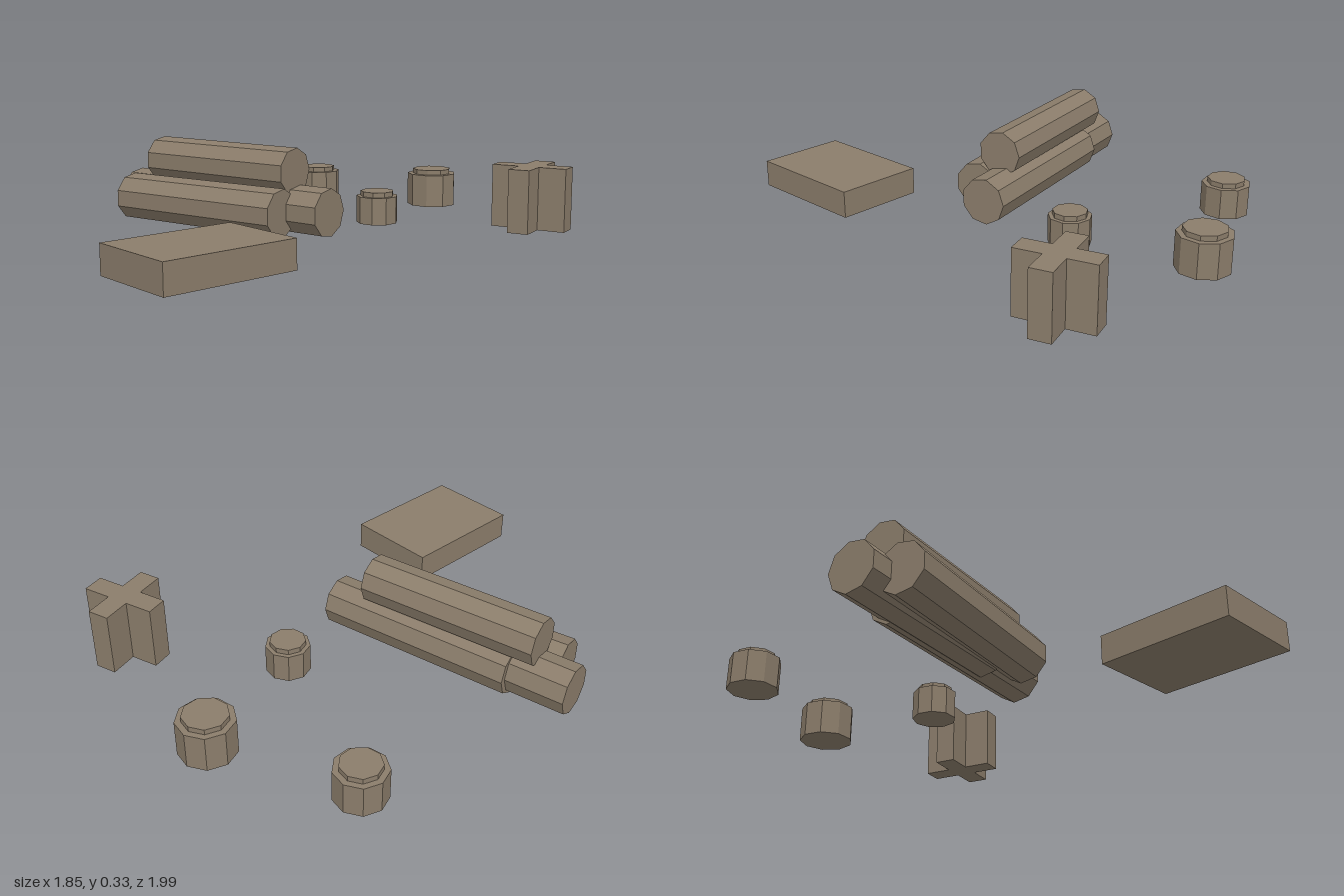
import * as THREE from 'three';

export function createModel() {
  const model = new THREE.Group();
  const wood = new THREE.MeshStandardMaterial({ color: 0x8b7d6b, flatShading: true });
  wood.name = 'weathered wood';

  const add = (name, geometry, x, y, z, degrees = 0) => {
    const mesh = new THREE.Mesh(geometry, wood);
    mesh.name = name;
    mesh.position.set(x, y, z);
    mesh.rotation.y = THREE.MathUtils.degToRad(degrees);
    model.add(mesh);
  };

  // Stacked nine-sided logs: a flat side faces the front, a ridge the back
  const logs = [
    ['frontLog', -0.536, 0.0935, -0.103, 0.777, 31.1, 0.095],
    ['backLog', -0.348, 0.0935, -0.137, 0.775, 33.4, 0.095],
    ['innerLog', -0.565, 0.0935, -0.252, 0.74, 33.5, 0.095],
    ['topLog', -0.458, 0.243, -0.185, 0.71, 32.9, 0.092],
  ];
  for (const [name, x, y, z, length, angle, r] of logs) {
    const log = new THREE.CylinderGeometry(r, r, length, 9, 1, false, Math.PI);
    log.rotateZ(-Math.PI / 2);
    add(name, log, x, y, z, -angle);
  }

  // Stumps, each with a narrower cap
  const stumps = [
    ['backStump', -0.13, -0.905, 0.097, 0.075, 0.122],
    ['largeStump', 0.395, -0.71, 0.107, 0.084, 0.14],
    ['smallStump', 0.155, -0.25, 0.085, 0.068, 0.11],
  ];
  const capHeight = 0.02;
  for (const [name, x, z, r, capR, height] of stumps) {
    add(name, new THREE.CylinderGeometry(r, r, height, 9), x, height / 2, z, 186);
    add(name + 'Cap', new THREE.CylinderGeometry(capR, capR, capHeight, 9), x, height + capHeight / 2, z, 186);
  }

  // Upright post with a cross-shaped section
  const a = 0.042, b = 0.151;
  const cross = new THREE.Shape([
    [a, a], [a, b], [-a, b], [-a, a], [-b, a], [-b, -a],
    [-a, -a], [-a, -b], [a, -b], [a, -a], [b, -a], [b, a],
  ].map(([x, y]) => new THREE.Vector2(x, y)));
  const post = new THREE.ExtrudeGeometry(cross, { depth: 0.25, bevelEnabled: false });
  post.rotateX(-Math.PI / 2);
  add('crossPost', post, 0.77, 0, -0.158, -27.5);

  // Low rectangular slab
  add('slab', new THREE.BoxGeometry(0.522, 0.11, 0.37), -0.415, 0.055, 0.678, 45);

  return model;
}
